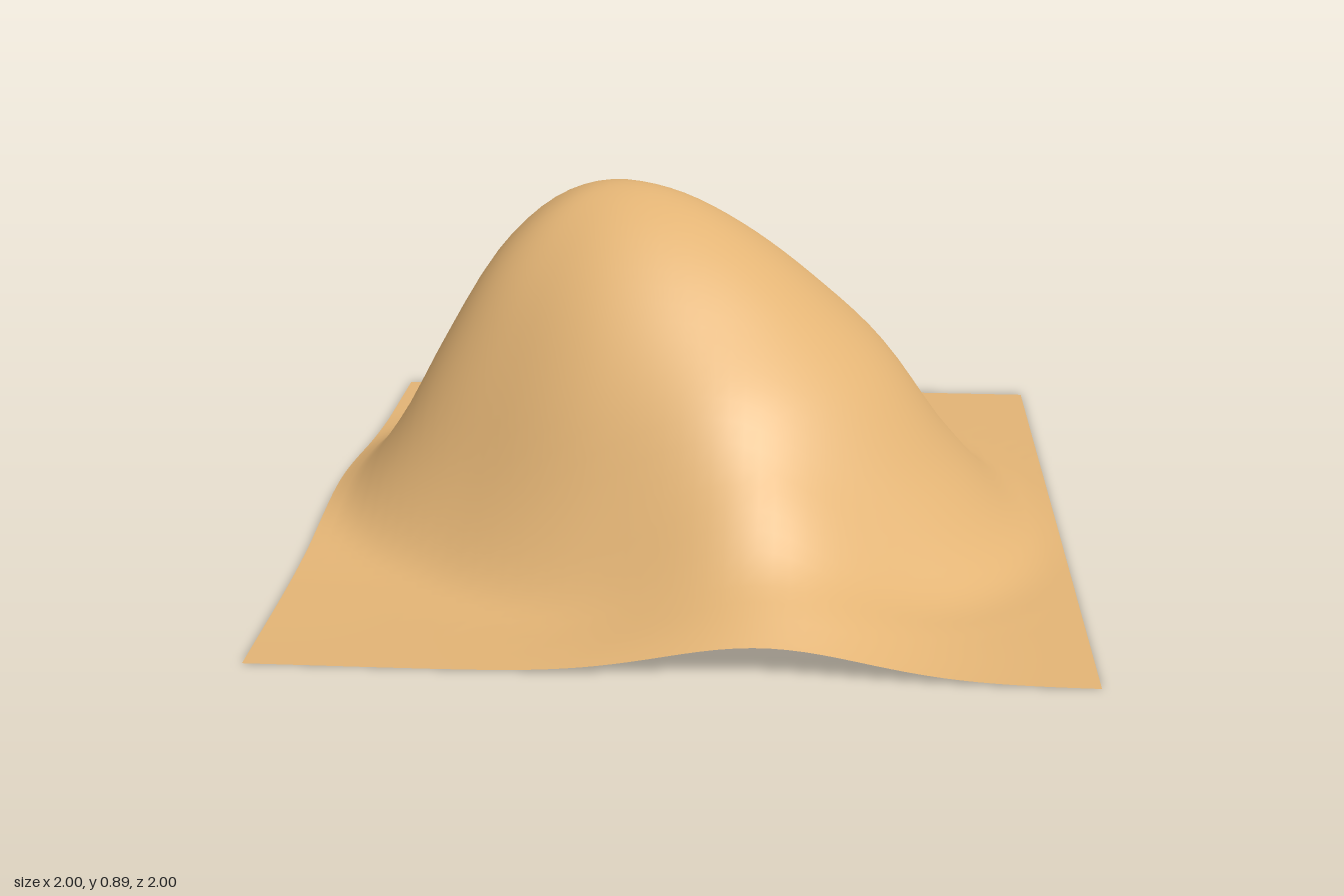
import * as THREE from 'three';

// Smooth interpolation through evenly spaced values
function spline(values, t, closed) {
  const n = values.length;
  const at = i => values[closed ? (i + n) % n : Math.min(Math.abs(i), n - 1)];
  const i = Math.floor(t), f = t - i;
  const [a, b, c, d] = [at(i - 1), at(i), at(i + 1), at(i + 2)];
  return b + 0.5 * f * (c - a + f * (2 * a - 5 * b + 4 * c - d + f * (3 * (b - c) + d - a)));
}

const PEAK = { x: -0.2, z: -0.15, height: 0.893 };
// Relative height at every quarter of the half-height radius, for the
// full-shouldered -x side and the straighter +x side
const FULL_SLOPE = [1, 0.978, 0.895, 0.742, 0.5, 0.23, 0.04, 0, 0];
const STRAIGHT_SLOPE = [1, 0.955, 0.845, 0.69, 0.5, 0.225, 0.028, 0, 0];
// Half-height radius every 30 degrees, from +x towards +z
const RADIUS = [0.725, 0.78, 0.705, 0.61, 0.54, 0.535, 0.5, 0.53, 0.555, 0.565, 0.58, 0.645];
// Low spurs at the foot: centre, widths and height
const SPURS = [
  { x: 0.22, z: 0.75, wx: 0.33, wz: 0.29, height: 0.165 },
  { x: -1, z: 0, wx: 0.25, wz: 0.35, height: 0.045 },
];

function hillHeight(x, z) {
  const dx = x - PEAK.x, dz = z - PEAK.z;
  const angle = Math.atan2(dz, dx);
  const turn = (angle / (2 * Math.PI) + 1) % 1;
  const s = 4 * Math.hypot(dx, dz) / spline(RADIUS, turn * RADIUS.length, true);
  const slope = THREE.MathUtils.lerp(
    spline(FULL_SLOPE, s, false), spline(STRAIGHT_SLOPE, s, false), 0.5 + 0.5 * Math.cos(angle));
  let y = PEAK.height * Math.max(0, slope);
  for (const p of SPURS) {
    y += p.height * Math.exp(-(((x - p.x) / p.wx) ** 2) - ((z - p.z) / p.wz) ** 2);
  }
  return y;
}

export function createModel() {
  const group = new THREE.Group();
  group.name = 'terrain';

  // Flat square sheet raised into one lopsided hill
  const geometry = new THREE.PlaneGeometry(2, 2, 50, 50).rotateX(-Math.PI / 2);
  const position = geometry.attributes.position;
  for (let i = 0; i < position.count; i++) {
    position.setY(i, hillHeight(position.getX(i), position.getZ(i)));
  }
  geometry.computeVertexNormals();

  const hill = new THREE.Mesh(geometry, new THREE.MeshStandardMaterial({
    color: 0xe3b475, side: THREE.DoubleSide,
  }));
  hill.name = 'hillSurface';
  group.add(hill);
  return group;
}
